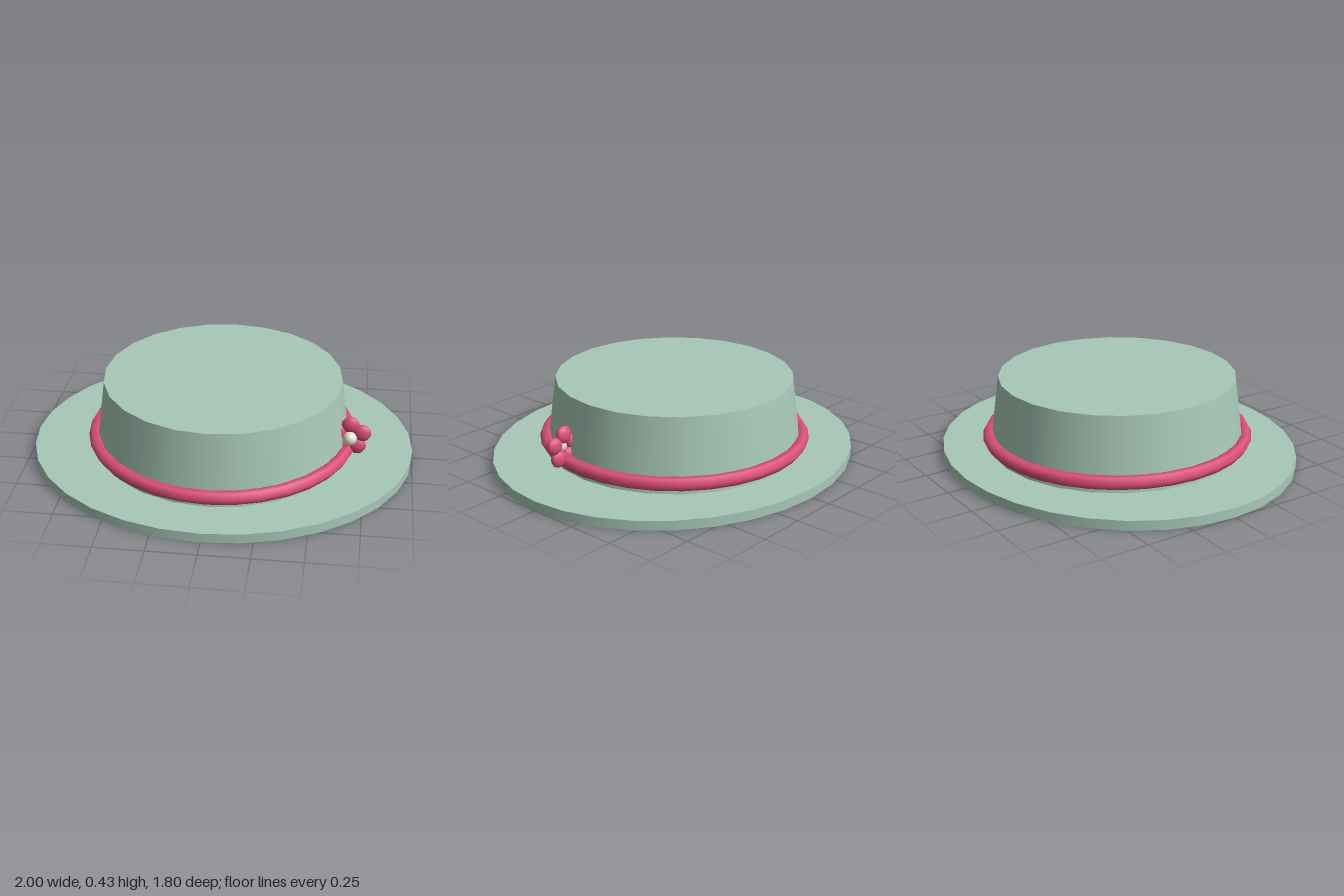
import * as THREE from 'three';

export function createModel() {
  const hat = new THREE.Group();
  hat.name = 'hat';
  const felt = new THREE.MeshStandardMaterial({ color: 0xa8c8b8 });
  const pink = new THREE.MeshStandardMaterial({ color: 0xe0507a });
  const cream = new THREE.MeshStandardMaterial({ color: 0xe8e0d0 });

  function add(parent, name, geometry, material, x, y, z) {
    const mesh = new THREE.Mesh(geometry, material);
    mesh.name = name;
    mesh.position.set(x, y, z);
    parent.add(mesh);
    return mesh;
  }

  // Oval brim, slightly narrower front to back
  const brim = add(hat, 'brim', new THREE.CylinderGeometry(1, 1, 0.05, 32), felt, 0, 0.025, 0);
  brim.scale.z = 0.9;

  // Tapered flat-topped crown
  add(hat, 'crown', new THREE.CylinderGeometry(0.62, 0.67, 0.38, 24), felt, 0, 0.24, 0);

  // Hexagonal cord around the base of the crown
  const band = new THREE.TorusGeometry(0.675, 0.035, 6, 32).rotateX(Math.PI / 2);
  add(hat, 'band', band, pink, 0, 0.108, 0);

  // Flower tucked into the side of the crown, facing forward
  const flower = new THREE.Group();
  flower.name = 'flower';
  flower.position.set(0.672, 0.19, 0.137);
  hat.add(flower);
  const petal = new THREE.SphereGeometry(0.046, 10, 8).scale(1, 1, 0.58);
  for (let i = 0; i < 5; i++) {
    const a = Math.PI / 2 + (i * Math.PI * 2) / 5;
    add(flower, 'petal', petal, pink, 0.065 * Math.cos(a), 0.065 * Math.sin(a), 0);
  }
  add(flower, 'flowerCentre', new THREE.SphereGeometry(0.037, 10, 8), cream, 0, 0, 0.028);

  return hat;
}
